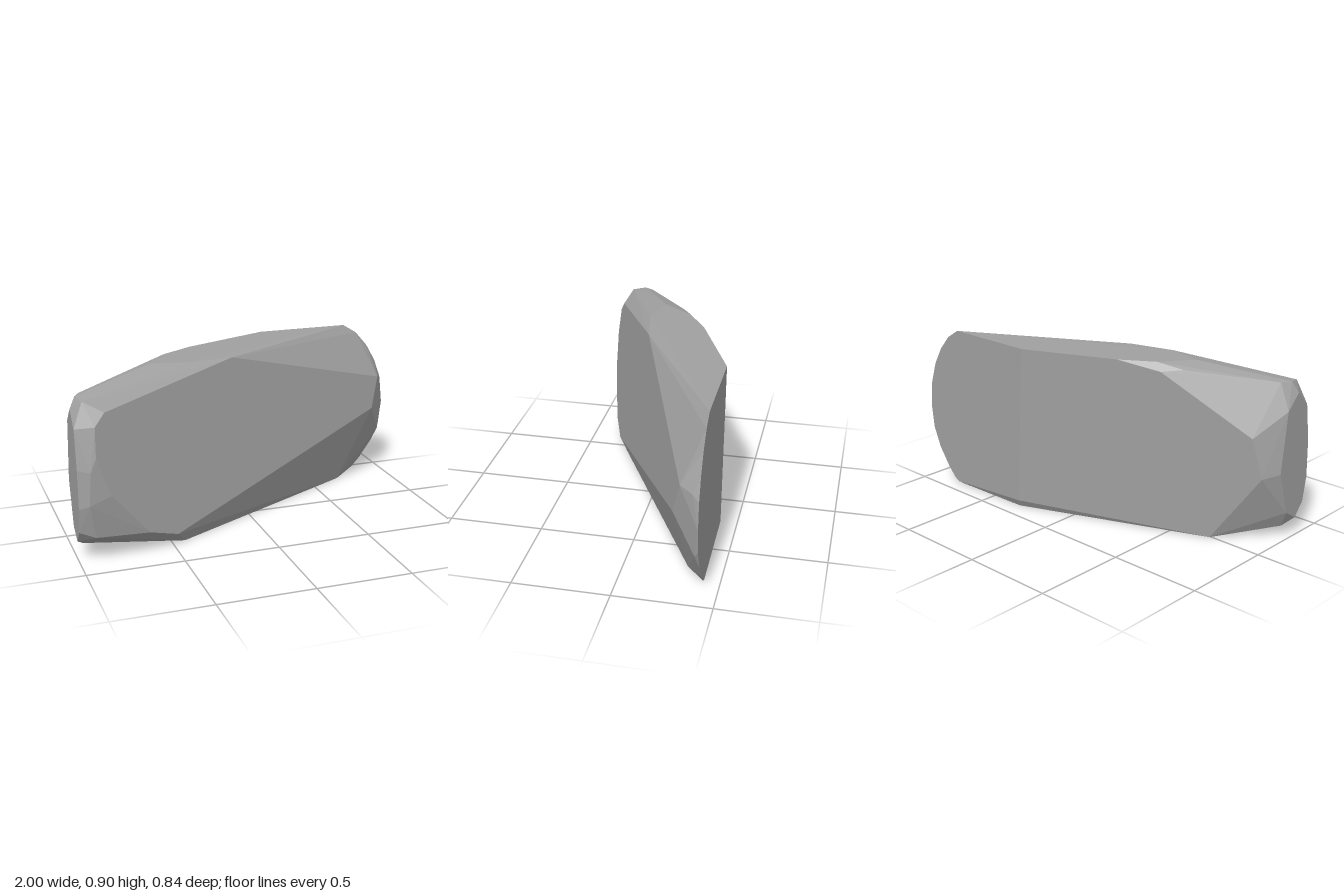
import * as THREE from 'three';
import { ConvexGeometry } from 'three/addons/geometries/ConvexGeometry.js';

export function createModel() {
  const stone = new THREE.MeshStandardMaterial({ color: 0xa0a0a0 });
  const points = [];
  const add = (list, place) => list.forEach(([a, b]) => points.push(new THREE.Vector3(...place(a, b))));

  // Broad sloping front cut, outlined in x, y
  add([[-0.1, 0.9], [0.92, 0.605], [0.87, 0.43], [-0.48, 0.065], [-0.64, 0.12],
    [-0.84, 0.36], [-0.91, 0.56], [-0.905, 0.71], [-0.85, 0.77]],
  (x, y) => [x, y, 0.127 - 0.398 * x - 0.13 * y]);

  // Broad sloping back cut, outlined in x, y
  add([[0.23, 0.905], [0.29, 0.04], [-0.7, 0], [-0.943, 0.36], [-0.895, 0.57],
    [-0.46, 0.865], [-0.25, 0.905]],
  (x, y) => [x, y, -0.298 - 0.415 * x - 0.029 * y]);

  // Rounded flat end at the back, outlined in x, y
  add([[0.74, 0.905], [0.82, 0.855], [0.89, 0.775], [0.945, 0.68], [0.985, 0.56], [1, 0.42],
    [0.985, 0.29], [0.94, 0.18], [0.87, 0.08], [0.82, 0.025], [0.79, 0.008]],
  (x, y) => [x, y, -0.42]);

  // Top, outlined in x, z
  add([[-0.35, 0.095], [-0.54, 0.045], [-0.42, -0.115]], (x, z) => [x, 0.905, z]);

  // Underside, outlined in x, z
  add([[-0.43, 0.255], [0.68, -0.32], [0.76, -0.41], [0.3, -0.4], [-0.08, -0.24], [-0.71, 0.08]],
    (x, z) => [x, 0, z]);

  // Narrow left end, outlined in y, z
  add([[0.78, 0.28], [0.7, 0.36], [0.5, 0.39], [0.3, 0.395], [0.17, 0.37],
    [0.1, 0.31], [0.15, 0.23], [0.38, 0.16], [0.7, 0.2]],
  (y, z) => [-1, y, z]);

  // Chipped corners between the main cuts
  for (const p of [
    [-0.95, 0.825, 0.33], [-0.97, 0.835, 0.26], [-0.94, 0.835, 0.21], [-0.55, 0.877, -0.06],
    [-0.96, 0.06, 0.25], [-0.92, 0.14, 0.39], [-0.95, 0.32, 0.42], [-0.94, 0.49, 0.42],
    [0.965, 0.59, -0.385], [0.97, 0.26, -0.4],
  ]) points.push(new THREE.Vector3(...p));

  const rock = new THREE.Mesh(new ConvexGeometry(points), stone);
  rock.name = 'rock';
  const group = new THREE.Group();
  group.name = 'facetedRock';
  group.add(rock);
  return group;
}
